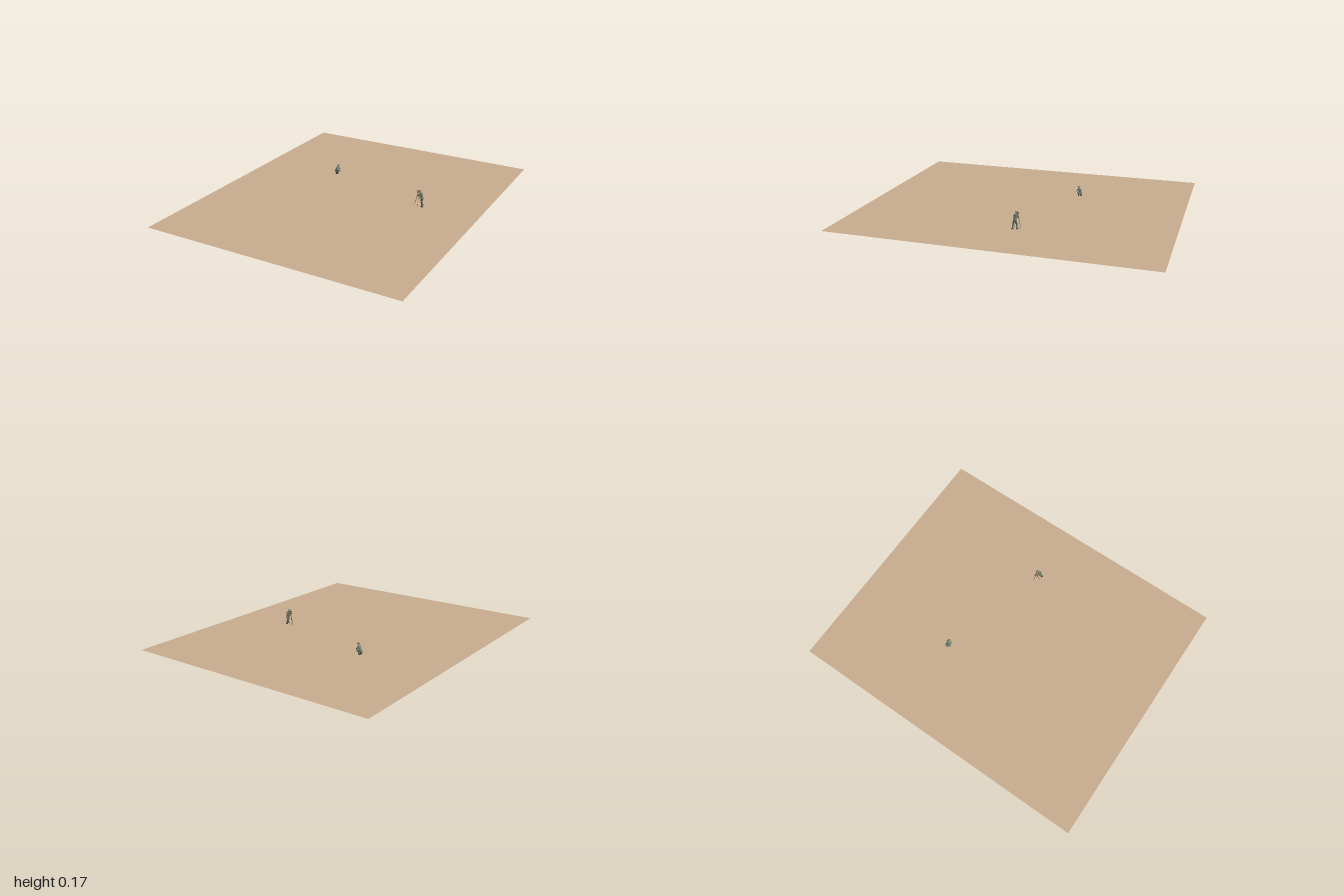
import * as THREE from 'three';

const mat = (color) => new THREE.MeshStandardMaterial({ color, flatShading: true, side: THREE.DoubleSide });
const sand = mat(0xc8ad90), olive = mat(0x6f7a66), khaki = mat(0x8d8a72), skin = mat(0xb58e70);
const teal = mat(0x6f9080), dark = mat(0x3c3f3c), wood = mat(0x80786a);

const V = (x, y, z) => new THREE.Vector3(x, y, z);

function add(group, name, geometry, material, x = 0, y = 0, z = 0) {
  const mesh = new THREE.Mesh(geometry, material);
  mesh.name = name;
  mesh.position.set(x, y, z);
  group.add(mesh);
  return mesh;
}

// surface made of four-cornered panels
function panels(group, name, quads) {
  const pos = [];
  for (const [a, b, c, d] of quads) for (const p of [a, b, c, a, c, d]) pos.push(...p);
  const g = new THREE.BufferGeometry();
  g.setAttribute('position', new THREE.Float32BufferAttribute(pos, 3));
  g.computeVertexNormals();
  return add(group, name, g, sand);
}

// tapered round bar between two points
function limb(group, name, a, b, r0, r1, material, sides = 8) {
  const dir = b.clone().sub(a);
  const mesh = add(group, name, new THREE.CylinderGeometry(r1, r0, dir.length(), sides), material);
  mesh.position.copy(a).addScaledVector(dir, 0.5);
  mesh.quaternion.setFromUnitVectors(V(0, 1, 0), dir.normalize());
  return mesh;
}

function ball(group, name, p, r, material, sx = 1, sy = 1, sz = 1) {
  add(group, name, new THREE.SphereGeometry(r, 10, 7), material, p.x, p.y, p.z).scale.set(sx, sy, sz);
}

// figure facing local +x, in metres; joints given for each side
function person(name, pose, shirt, trousers) {
  const g = new THREE.Group();
  g.name = name;
  const { hip, chest, head } = pose;
  limb(g, 'torso', hip, chest, 0.15, 0.19, shirt).scale.x = 0.85;
  ball(g, 'pelvis', hip, 0.17, trousers);
  ball(g, 'shoulders', chest, 0.17, shirt, 0.9, 0.8, 1.3);
  limb(g, 'neck', chest, head, 0.07, 0.06, skin);
  ball(g, 'head', head, 0.11, skin, 1, 1.2, 0.9);
  ball(g, 'hat', head.clone().add(V(-0.01, 0.06, 0)), 0.125, khaki, 1, 0.8, 1);
  add(g, 'hatBrim', new THREE.CylinderGeometry(0.15, 0.17, 0.025, 12), khaki, head.x, head.y + 0.06, head.z);
  [1, -1].forEach((s, i) => {
    const { knee, foot, elbow, hand } = pose.sides[i];
    limb(g, 'thigh', hip.clone().add(V(0, 0, s * 0.09)), knee, 0.11, 0.08, trousers);
    ball(g, 'knee', knee, 0.085, trousers);
    limb(g, 'shin', knee, foot, 0.085, 0.06, trousers);
    add(g, 'boot', new THREE.BoxGeometry(0.27, 0.1, 0.1), dark, foot.x + 0.07, 0.05, foot.z);
    limb(g, 'upperArm', chest.clone().add(V(0, 0, s * 0.2)), elbow, 0.075, 0.06, shirt);
    ball(g, 'elbow', elbow, 0.062, shirt);
    limb(g, 'forearm', elbow, hand, 0.055, 0.04, skin);
    ball(g, 'hand', hand, 0.055, skin);
  });
  return g;
}

export function createModel() {
  const model = new THREE.Group();
  const H = 0.068, TX = 0.26, TZ = 0.28, BX = 0.197, BZ = 0.217;

  // flat ground sheet
  add(model, 'ground', new THREE.PlaneGeometry(1.67, 2).rotateX(-Math.PI / 2), sand, 0, H, 0);

  // sunken pit with sloping walls
  add(model, 'pitFloor', new THREE.PlaneGeometry(BX * 2, BZ * 2).rotateX(-Math.PI / 2), sand);
  const S0 = -0.19, S1 = -0.133, steps = 4;
  for (const s of [1, -1]) {
    const p = (x, y, z) => [s * x, y, s * z];
    panels(model, 'sideWall', [[p(BX, 0, -BZ), p(TX, H, -TZ), p(TX, H, TZ), p(BX, 0, BZ)]]);
    panels(model, 'endWall', [
      [p(-BX, 0, BZ), p(S0, 0, BZ), p(S0, H, TZ), p(-TX, H, TZ)],
      [p(S1, 0, BZ), p(BX, 0, BZ), p(TX, H, TZ), p(S1, H, TZ)],
    ]);

    // stairway cut into the end wall
    const quads = [];
    for (let i = 0; i < steps; i++) {
      const y0 = H * i / steps, y1 = H * (i + 1) / steps;
      const z0 = BZ + (TZ - BZ) * i / steps, z1 = BZ + (TZ - BZ) * (i + 1) / steps;
      quads.push([p(S0, y0, z0), p(S1, y0, z0), p(S1, y0, z1), p(S0, y0, z1)]);
      quads.push([p(S0, y0, z1), p(S1, y0, z1), p(S1, y1, z1), p(S0, y1, z1)]);
      for (const x of [S0, S1]) quads.push([p(x, y0, z0), p(x, y0, z1), p(x, y1, z1), p(x, y1, z1)]);
    }
    panels(model, 'stairs', quads);
  }

  // crouching worker
  const worker = person('crouchingWorker', {
    hip: V(-0.2, 0.32, 0), chest: V(0.06, 0.8, 0), head: V(0.19, 1.06, 0.02),
    sides: [
      { knee: V(0.2, 0.5, 0.16), foot: V(-0.08, 0.06, 0.13), elbow: V(0.2, 0.58, 0.24), hand: V(0.4, 0.5, 0.08) },
      { knee: V(0.2, 0.42, -0.14), foot: V(-0.18, 0.06, -0.13), elbow: V(0.22, 0.56, -0.22), hand: V(0.4, 0.46, -0.05) },
    ],
  }, teal, olive);
  worker.position.set(-0.285, H, -0.285);
  worker.rotation.y = -0.2;
  worker.scale.setScalar(0.06);
  model.add(worker);

  // standing surveyor leaning to the instrument
  const station = new THREE.Group();
  station.name = 'surveyStation';
  const surveyor = person('surveyor', {
    hip: V(-0.12, 0.9, 0), chest: V(0.06, 1.36, 0), head: V(0.2, 1.6, 0),
    sides: [
      { knee: V(0.03, 0.47, 0.16), foot: V(-0.08, 0.06, 0.22), elbow: V(0.16, 1.12, 0.3), hand: V(0.38, 1.38, 0.1) },
      { knee: V(-0.18, 0.47, -0.13), foot: V(-0.34, 0.06, -0.18), elbow: V(0.2, 1.15, -0.3), hand: V(0.38, 1.36, -0.08) },
    ],
  }, olive, olive);
  surveyor.rotation.y = Math.PI - 0.25;
  station.add(surveyor);
  const top = V(-0.42, 1.4, -0.12);
  for (const foot of [V(-0.83, 0, -0.25), V(-0.2, 0, -0.5), V(-0.25, 0, 0.22)]) {
    limb(station, 'tripodLeg', foot, top, 0.018, 0.03, wood, 6);
  }
  add(station, 'tripodHead', new THREE.CylinderGeometry(0.09, 0.09, 0.05, 10), dark, top.x, top.y, top.z);
  add(station, 'instrument', new THREE.BoxGeometry(0.14, 0.2, 0.14), khaki, top.x, top.y + 0.12, top.z);
  limb(station, 'telescope', V(top.x - 0.15, 1.56, top.z - 0.03), V(top.x + 0.15, 1.56, top.z + 0.03), 0.05, 0.035, dark);
  station.position.set(0.45, H, -0.072);
  station.scale.setScalar(0.06);
  model.add(station);

  return model;
}
